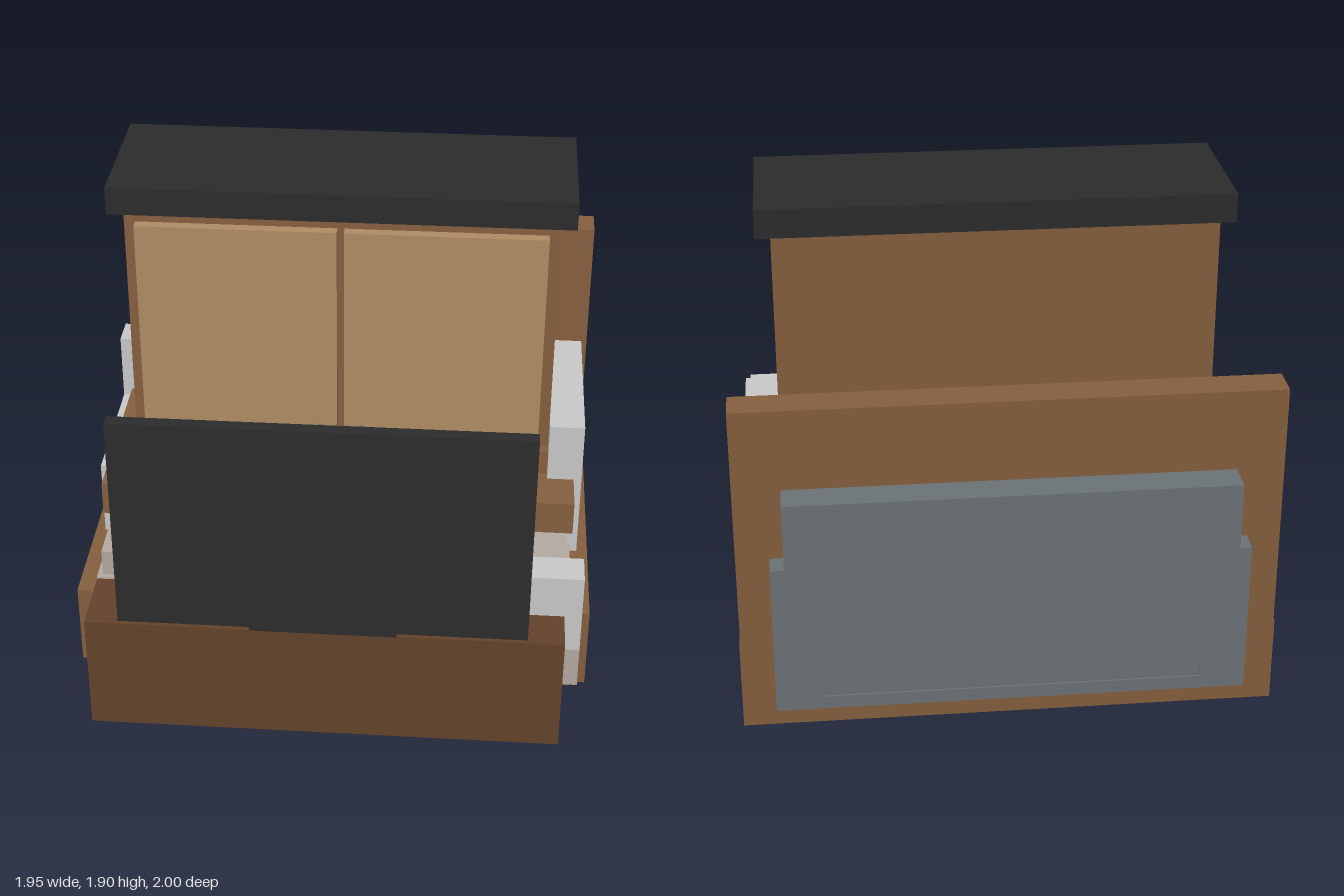
import * as THREE from 'three';

export function createModel() {
  const root = new THREE.Group();
  root.name = 'furnitureSet';

  const mat = (name, color) => {
    const m = new THREE.MeshStandardMaterial({ color });
    m.name = name;
    return m;
  };
  const wood = mat('wood', 0x87603f);
  const darkWood = mat('darkWood', 0x64432b);
  const lightWood = mat('lightWood', 0xb08d65);
  const black = mat('black', 0x2c2c2c);
  const slate = mat('slate', 0x6c7378);
  const white = mat('white', 0xc9c9c9);
  const beige = mat('beige', 0xb4aaa1);

  const group = (name) => {
    const g = new THREE.Group();
    g.name = name;
    root.add(g);
    return g;
  };
  // Box given by its limits on each axis
  const box = (g, name, m, [x0, x1], [y0, y1], [z0, z1]) => {
    const mesh = new THREE.Mesh(new THREE.BoxGeometry(x1 - x0, y1 - y0, z1 - z0), m);
    mesh.position.set((x0 + x1) / 2, (y0 + y1) / 2, (z0 + z1) / 2);
    mesh.name = name;
    g.add(mesh);
  };
  // The same box on both sides of x = 0
  const pair = (g, name, m, [x0, x1], y, z) => {
    box(g, name + 'Left', m, [x0, x1], y, z);
    box(g, name + 'Right', m, [-x1, -x0], y, z);
  };

  // Bed: open frame, headboard, mattress and pillows
  const bed = group('bed');
  box(bed, 'headboard', wood, [-0.97, 0.97], [0.075, 1.343], [-0.88, -0.75]);
  pair(bed, 'sideRail', wood, [0.905, 0.974], [0.075, 0.405], [-0.88, 0.585]);
  box(bed, 'footboard', wood, [-0.92, 0.92], [0.075, 0.405], [0.55, 0.605]);
  box(bed, 'mattress', beige, [-0.902, 0.902], [0.3, 0.447], [-0.75, 0.553]);
  box(bed, 'blanket', beige, [-0.882, 0.882], [0.447, 0.553], [-0.75, 0.532]);
  box(bed, 'headboardCushion', beige, [-0.8, 0.8], [0.553, 1.21], [-0.75, -0.705]);
  pair(bed, 'pillow', white, [0.095, 0.685], [0.553, 0.68], [-0.705, -0.4]);

  // Wardrobe with two doors
  const wardrobe = group('wardrobe');
  box(wardrobe, 'wardrobeBody', wood, [-0.8, 0.8], [0.005, 1.79], [-0.405, 0.105]);
  box(wardrobe, 'wardrobeTop', black, [-0.855, 0.855], [1.79, 1.897], [-0.42, 0.15]);
  pair(wardrobe, 'door', lightWood, [0.013, 0.758], [0.1, 1.743], [0.1, 0.145]);
  for (const s of [-1, 1]) {
    const handle = new THREE.Mesh(new THREE.CylinderGeometry(0.017, 0.017, 0.11, 12), slate);
    handle.rotation.x = Math.PI / 2;
    handle.position.set(s * 0.081, 0.908, 0.195);
    handle.name = 'doorHandle';
    wardrobe.add(handle);
  }
  const disc = new THREE.Mesh(new THREE.CylinderGeometry(0.16, 0.16, 0.003, 32), black);
  disc.position.set(0, 0.0035, -0.15);
  disc.name = 'baseDisc';
  wardrobe.add(disc);

  // Table with four square legs
  const table = group('table');
  box(table, 'tableTop', wood, [-0.902, 0.902], [0.607, 0.74], [-0.65, 0.353]);
  for (const z of [[0.113, 0.252], [-0.55, -0.412]])
    pair(table, 'tableLeg', black, [0.63, 0.77], [0.003, 0.607], z);

  // Low chest in front of the wardrobe
  box(group('chest'), 'chestTop', wood, [-0.835, 0.835], [0.74, 0.84], [-0.35, 0.149]);

  // Stool
  const stool = group('stool');
  box(stool, 'stoolSeat', darkWood, [-0.44, 0.44], [0.4, 0.44], [-0.045, 0.355]);
  for (const z of [[0.29, 0.355], [-0.045, 0.02]])
    pair(stool, 'stoolLeg', darkWood, [0.37, 0.44], [0, 0.4], z);

  // Corner sofa with a long seat reaching forward
  const corner = group('cornerSofa');
  box(corner, 'cornerSofaBase', beige, [-0.937, 0.932], [0.225, 0.39], [-0.48, 0.183]);
  box(corner, 'longSeat', beige, [0.265, 0.932], [0.225, 0.39], [0.183, 0.785]);
  box(corner, 'cornerSofaBack', white, [-0.937, 0.932], [0.39, 0.975], [-0.48, -0.355]);
  box(corner, 'cornerSofaSide', white, [0.8, 0.932], [0.39, 0.975], [-0.355, 0.183]);
  box(corner, 'lowArm', white, [-0.937, -0.8], [0.39, 0.71], [-0.355, 0.183]);
  box(corner, 'endArm', white, [0.265, 0.932], [0.39, 0.71], [0.655, 0.785]);

  // Sofa behind the headboard
  const sofa = group('backSofa');
  box(sofa, 'sofaBase', slate, [-0.85, 0.85], [0.19, 0.24], [-0.967, -0.1]);
  box(sofa, 'sofaSeat', slate, [-0.685, 0.685], [0.24, 0.5], [-0.96, -0.1]);
  pair(sofa, 'sofaArm', slate, [0.685, 0.85], [0.24, 0.77], [-0.967, -0.1]);
  box(sofa, 'sofaBack', slate, [-0.8, 0.8], [0.31, 1.04], [-1, -0.88]);

  // Screen on a low cabinet
  const media = group('mediaUnit');
  box(media, 'mediaCabinet', darkWood, [-0.87, 0.868], [0.077, 0.542], [0.688, 0.952]);
  box(media, 'screenBase', black, [-0.268, 0.265], [0.542, 0.613], [0.823, 0.955]);
  box(media, 'screen', black, [-0.735, 0.733], [0.593, 1.43], [0.952, 1]);

  return root;
}
